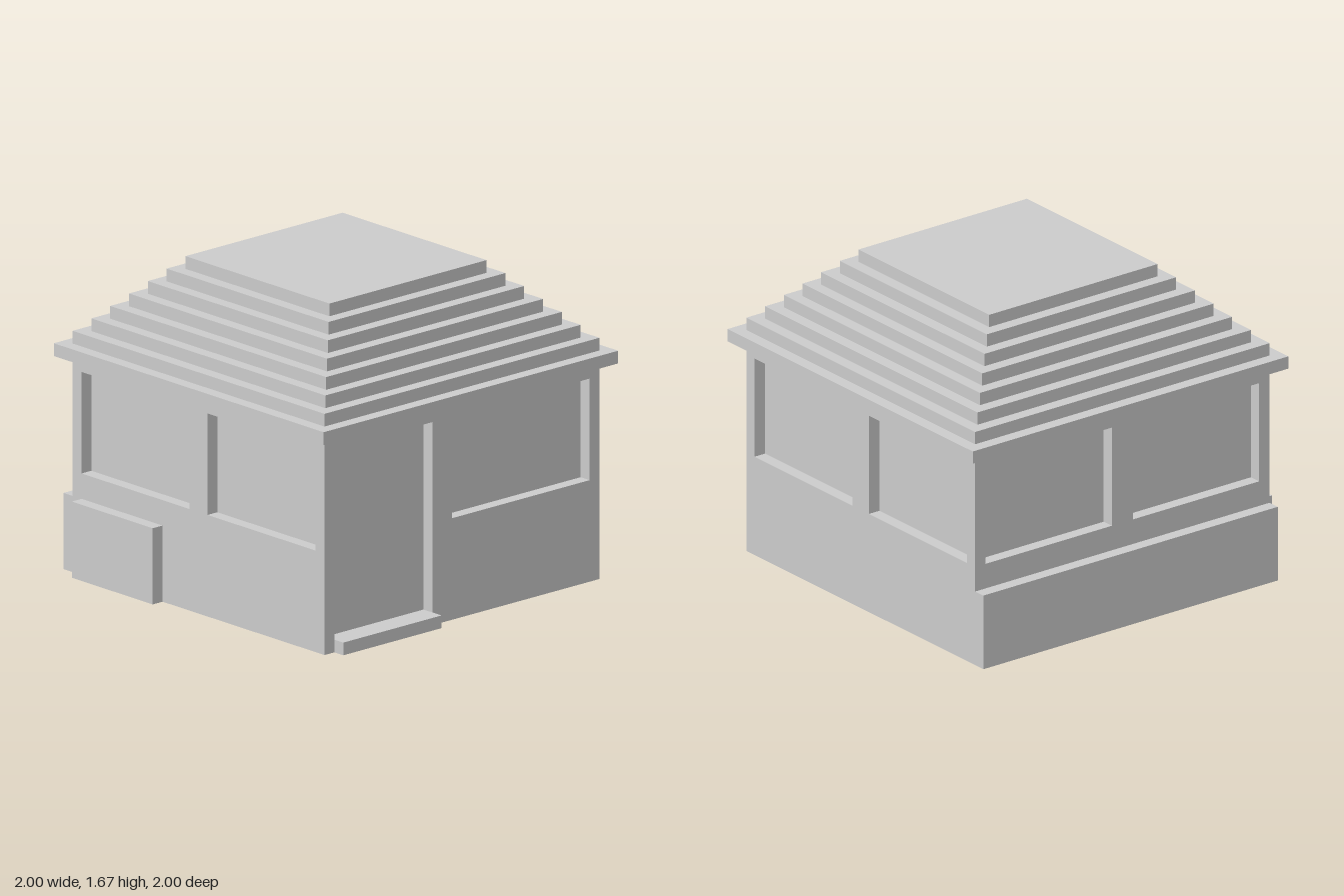
import * as THREE from 'three';

const U = 1 / 15; // building module: every size is a whole number of these
const HALF = 14, WALL_TOP = 17;

const material = new THREE.MeshStandardMaterial({ color: 0xcccccc, flatShading: true });

function addMesh(parent, name, geometry) {
  const mesh = new THREE.Mesh(geometry, material);
  mesh.name = name;
  parent.add(mesh);
  return mesh;
}

// Box given by its limits in modules
function addBox(parent, name, [x0, x1], [y0, y1], [z0, z1]) {
  const mesh = addMesh(parent, name, new THREE.BoxGeometry((x1 - x0) * U, (y1 - y0) * U, (z1 - z0) * U));
  mesh.position.set((x0 + x1) / 2 * U, (y0 + y1) / 2 * U, (z0 + z1) / 2 * U);
  return mesh;
}

function trace(path, x0, y0, x1, y1) {
  path.moveTo(x0, y0);
  path.lineTo(x1, y0);
  path.lineTo(x1, y1);
  path.lineTo(x0, y1);
  path.closePath();
  return path;
}

// Wall one module thick with openings [x0, y0, x1, y1], mitred at the corners
function wallGeometry(openings) {
  const shape = trace(new THREE.Shape(), -HALF, 0, HALF, WALL_TOP);
  for (const o of openings) shape.holes.push(trace(new THREE.Path(), ...o));
  const geometry = new THREE.ExtrudeGeometry(shape, { depth: 1, bevelEnabled: false });
  const p = geometry.attributes.position;
  for (let i = 0; i < p.count; i++) {
    if (p.getZ(i) < 0.5 && Math.abs(p.getX(i)) > HALF - 0.5) p.setX(i, Math.sign(p.getX(i)) * (HALF - 1));
  }
  geometry.translate(0, 0, HALF - 1);
  geometry.scale(U, U, U);
  geometry.computeVertexNormals();
  return geometry;
}

export function createModel() {
  const house = new THREE.Group();
  house.name = 'house';

  // Inner block: its faces are the window panes and the door leaf
  const inner = [1 - HALF, HALF - 1];
  addBox(house, 'panesAndDoor', inner, [0, WALL_TOP], inner);

  // Four walls: door and wide window in front, window pairs elsewhere
  const pair = [[-13, 8, -1, 16], [1, 8, 13, 16]];
  const doorAndWindow = [[-13, 1, -3, 16], [-1, 8, 13, 16]];
  ['frontWall', 'leftWall', 'backWall', 'rightWall'].forEach((name, i) => {
    const wall = addMesh(house, name, wallGeometry(i === 0 ? doorAndWindow : pair));
    wall.rotation.y = i * Math.PI / 2;
  });

  // Doorstep, full-width back ledge and low box on the right side
  addBox(house, 'doorstep', [-13, -3], [0, 1], [HALF, HALF + 1]);
  addBox(house, 'backLedge', [-HALF, HALF], [0, 6], [-HALF - 1, -HALF]);
  addBox(house, 'sideBox', [-HALF - 1, -HALF], [0, 6], [-13, -4]);

  // Stepped roof, each tier one module smaller on every side
  const roof = new THREE.Group();
  roof.name = 'roof';
  house.add(roof);
  for (let i = 0; i < 8; i++) {
    const span = [i - 15, 15 - i];
    addBox(roof, 'roofTier' + (i + 1), span, [WALL_TOP + i, WALL_TOP + i + 1], span);
  }
  return house;
}
